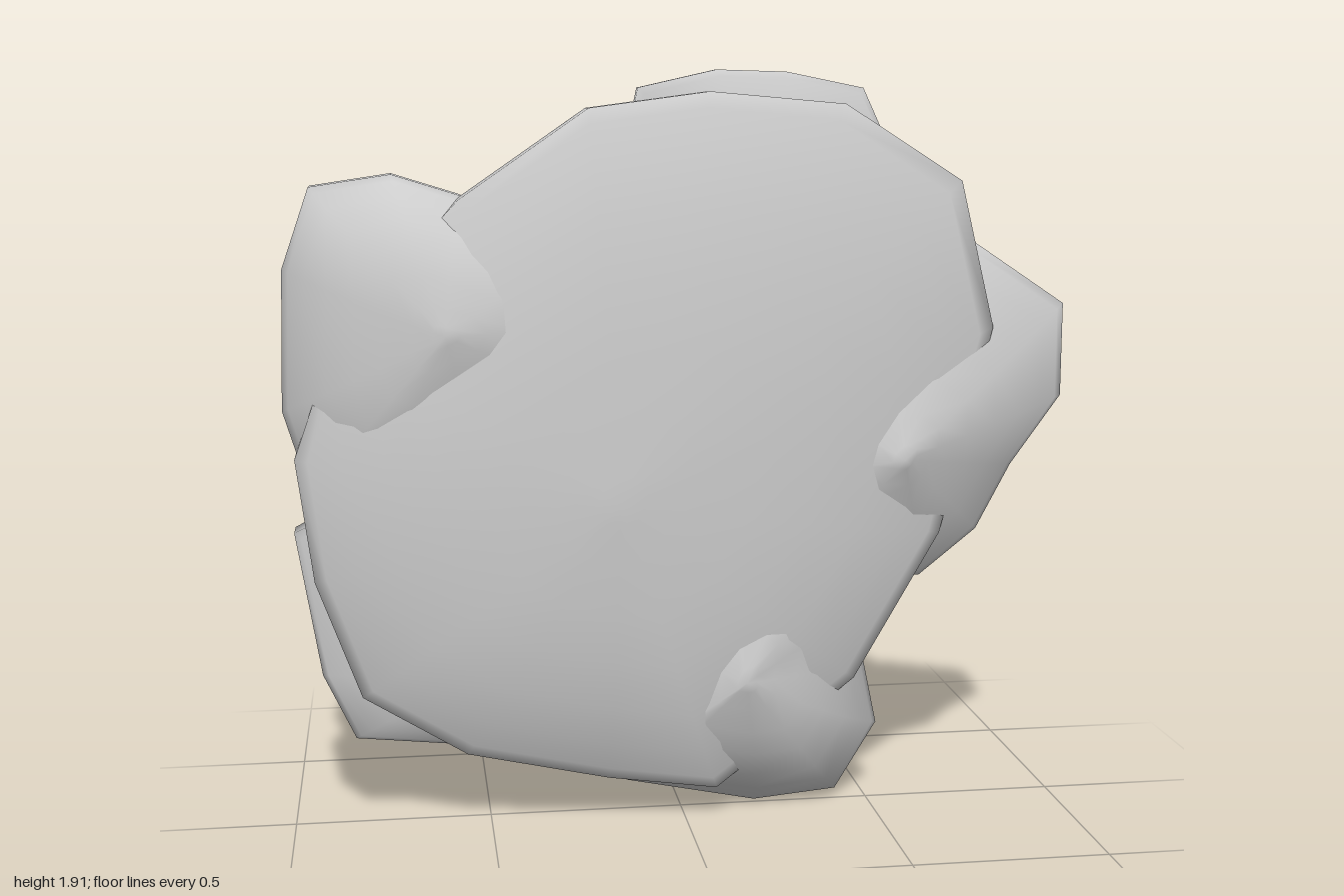
import * as THREE from 'three';

const material = new THREE.MeshStandardMaterial({ color: 0xcccccc });

// Outline scale of each ring from the rim to the apex
const STEPS = [1, 0.96, 0.86, 0.72, 0.55, 0.38, 0.2, 0.07];

// Share of the dome height at ring scale s: bulge 1 is a cushion, 0 a cone
const rise = (s, bulge) => bulge * (1 - s ** 4) + (1 - bulge) * (1 - s);

// Two-sided domed pad. outline: counter-clockwise [x, y] corners seen from the front.
// front and back: apex position, z of the rim edge, and bulge of that dome.
function pad(name, { outline, front, back }) {
  const n = outline.length, pos = [], index = [];
  const addRing = ({ apex, rim, bulge }, s) => {
    const z = rim + (apex[2] - rim) * rise(s, bulge);
    for (const [x, y] of outline) {
      pos.push(apex[0] + (x - apex[0]) * s, apex[1] + (y - apex[1]) * s, z);
    }
  };
  // Rings run from the back apex, over the rim, to the front apex
  [...STEPS].reverse().forEach(s => addRing(back, s));
  STEPS.forEach(s => addRing(front, s));
  const rings = STEPS.length * 2;
  for (let r = 0; r < rings - 1; r++) {
    for (let i = 0; i < n; i++) {
      const j = (i + 1) % n, a = r * n + i, b = r * n + j;
      index.push(a, b, b + n, a, b + n, a + n);
    }
  }
  // Close both domes at their apex
  const backTip = rings * n, frontTip = backTip + 1, last = (rings - 1) * n;
  pos.push(...back.apex, ...front.apex);
  for (let i = 0; i < n; i++) {
    const j = (i + 1) % n;
    index.push(backTip, j, i, frontTip, last + i, last + j);
  }
  const geometry = new THREE.BufferGeometry();
  geometry.setAttribute('position', new THREE.Float32BufferAttribute(pos, 3));
  geometry.setIndex(index);
  geometry.computeVertexNormals();
  const mesh = new THREE.Mesh(geometry, material);
  mesh.name = name;
  return mesh;
}

const PADS = {
  // Large central slab
  mainSlab: {
    outline: [[0.79, 1.27], [0.7, 1.64], [0.4, 1.83], [0.06, 1.86], [-0.24, 1.82], [-0.56, 1.6],
      [-0.86, 1.28], [-0.97, 0.97], [-0.93, 0.66], [-0.82, 0.36], [-0.56, 0.2], [-0.2, 0.12],
      [0.08, 0.08], [0.44, 0.36], [0.66, 0.74]],
    front: { apex: [-0.18, 0.86, 0.23], rim: 0.1, bulge: 0.7 },
    back: { apex: [-0.05, 0.88, -0.23], rim: 0.01, bulge: 0.55 },
  },
  // Lobe at the upper right of the model
  upperRightLobe: {
    outline: [[-0.08, 1.3], [-0.26, 1.5], [-0.56, 1.61], [-0.72, 1.66], [-0.92, 1.63], [-0.99, 1.43],
      [-1, 1.08], [-0.94, 0.88], [-0.8, 0.84], [-0.52, 0.96], [-0.2, 1.1]],
    front: { apex: [-0.6, 1.28, 0.21], rim: 0.02, bulge: 0.65 },
    back: { apex: [-0.46, 1.28, -0.23], rim: -0.07, bulge: 0.45 },
  },
  // Lobe behind the top edge
  topLobe: {
    outline: [[0.64, 1.4], [0.56, 1.7], [0.48, 1.87], [0.28, 1.91], [0.1, 1.915], [-0.1, 1.87],
      [-0.18, 1.5], [-0.05, 1.28], [0.3, 1.16], [0.58, 1.22]],
    front: { apex: [0.28, 1.5, 0.02], rim: -0.06, bulge: 0.6 },
    back: { apex: [0.38, 1.48, -0.235], rim: -0.09, bulge: 0.5 },
  },
  // Tapering lobe pointing out to the model's left
  leftLobe: {
    outline: [[1, 1.08], [1, 1.32], [0.76, 1.48], [0.5, 1.42], [0.2, 1.15], [0.12, 0.86],
      [0.3, 0.62], [0.63, 0.61], [0.78, 0.73], [0.87, 0.9]],
    front: { apex: [0.54, 0.95, 0.205], rim: 0.02, bulge: 0.2 },
    back: { apex: [0.6, 0.95, -0.18], rim: -0.02, bulge: 0.2 },
  },
  // Lobe at the lower left, standing on the ground
  lowerLeftLobe: {
    outline: [[0.53, 0.2], [0.49, 0.39], [0.54, 0.6], [0.56, 0.86], [0.4, 0.96], [0.05, 0.85],
      [-0.16, 0.5], [-0.2, 0.12], [-0.14, 0.07], [0.2, 0], [0.42, 0.02]],
    front: { apex: [0.14, 0.39, 0.21], rim: -0.02, bulge: 0.5 },
    back: { apex: [0.34, 0.48, -0.22], rim: -0.07, bulge: 0.45 },
  },
  // Lobe behind the lower right edge
  lowerRightLobe: {
    outline: [[-0.02, 0.24], [-0.08, 0.45], [-0.28, 0.62], [-0.5, 0.64], [-0.64, 0.78], [-0.86, 0.83],
      [-0.98, 0.77], [-0.92, 0.4], [-0.84, 0.23], [-0.56, 0.2], [-0.2, 0.13]],
    front: { apex: [-0.55, 0.42, 0.1], rim: 0.02, bulge: 0.5 },
    back: { apex: [-0.36, 0.38, -0.21], rim: -0.06, bulge: 0.45 },
  },
};

export function createModel() {
  const group = new THREE.Group();
  group.name = 'lobedSlab';
  for (const [name, spec] of Object.entries(PADS)) group.add(pad(name, spec));
  return group;
}
